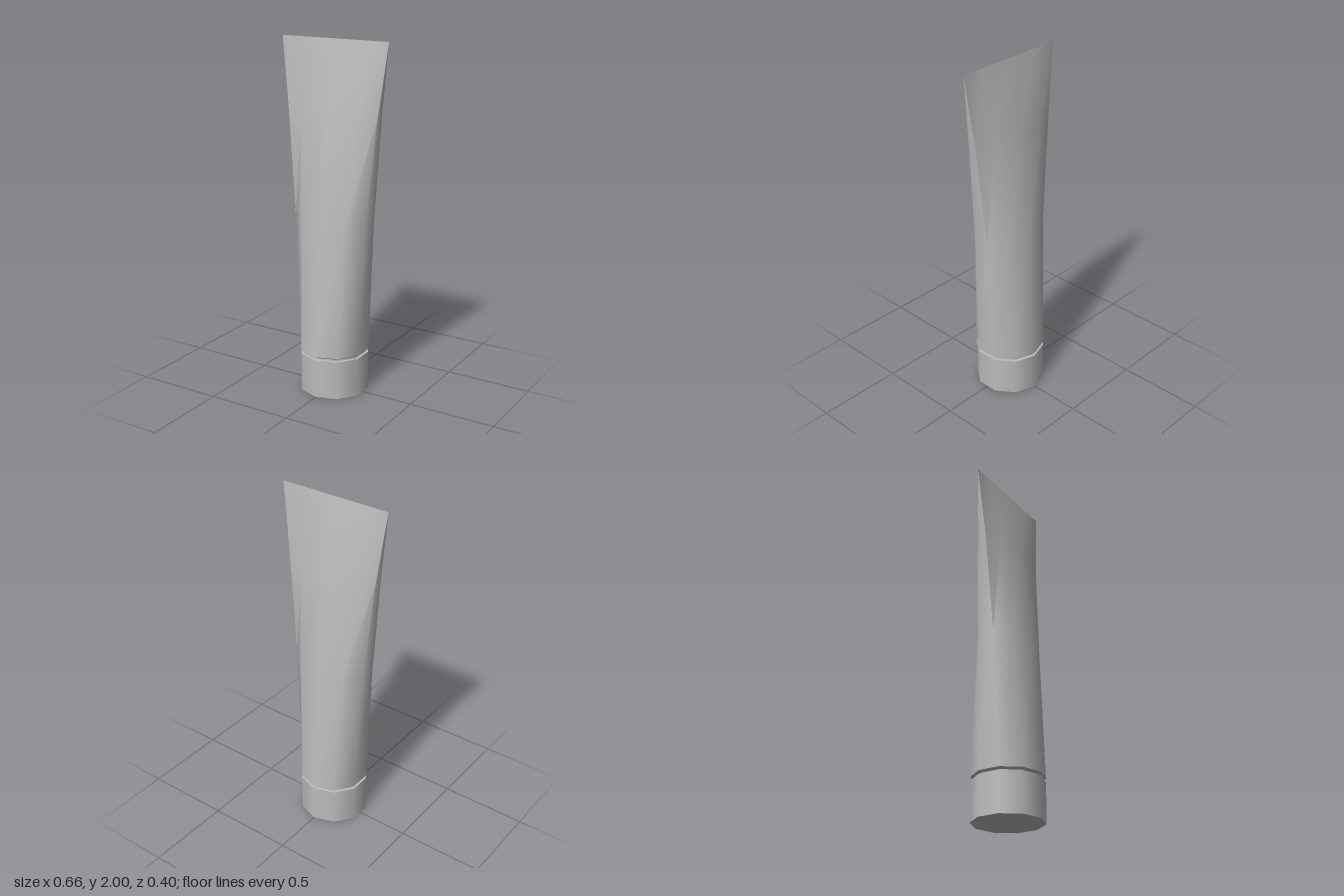
import * as THREE from 'three';
import { toCreasedNormals } from 'three/addons/utils/BufferGeometryUtils.js';

const SIDES = 10;
const RADIUS = 0.2;

// Soft tube: a ten-sided ring that widens in x and flattens to a crimped line.
// Each ring is [height, x scale, z scale].
function tubeGeometry() {
  const rings = [
    [0.245, 1, 1],
    [1.0, 1.19, 0.735],
    [1.6, 1.475, 0.375],
    [2.0, 1.735, 0],
  ];
  const points = [];
  const index = [];
  for (const [y, sx, sz] of rings) {
    for (let i = 0; i < SIDES; i++) {
      const a = (i / SIDES) * Math.PI * 2;
      points.push(RADIUS * sx * Math.sin(a), y, RADIUS * sz * Math.cos(a));
    }
  }
  for (let r = 0; r < rings.length - 1; r++) {
    for (let i = 0; i < SIDES; i++) {
      const j = (i + 1) % SIDES;
      const b = r * SIDES;
      const t = b + SIDES;
      index.push(b + i, b + j, t + j);
      // the narrow sides close to a point at the crimp
      const pinched = r === rings.length - 2 && (i === 2 || i === 7);
      if (!pinched) index.push(b + i, t + j, t + i);
    }
  }
  const g = new THREE.BufferGeometry();
  g.setAttribute('position', new THREE.Float32BufferAttribute(points, 3));
  g.setIndex(index);
  return toCreasedNormals(g, 0.9);
}

export function createModel() {
  const group = new THREE.Group();
  const grey = new THREE.MeshStandardMaterial({ color: 0xbcbcbc });
  grey.name = 'plainGrey';

  const add = (name, geometry, y = 0) => {
    const mesh = new THREE.Mesh(geometry, grey);
    mesh.name = name;
    mesh.position.y = y;
    group.add(mesh);
  };

  add('tubeBody', tubeGeometry());

  // Bevelled groove between tube and cap
  add('tubeShoulder', new THREE.CylinderGeometry(RADIUS, 0.183, 0.01, SIDES), 0.24);
  add('neck', new THREE.CylinderGeometry(0.183, 0.183, 0.02, SIDES, 1, true), 0.235);

  // Cap the tube stands on
  add('cap', new THREE.CylinderGeometry(RADIUS, RADIUS, 0.225, SIDES), 0.1125);

  return group;
}
